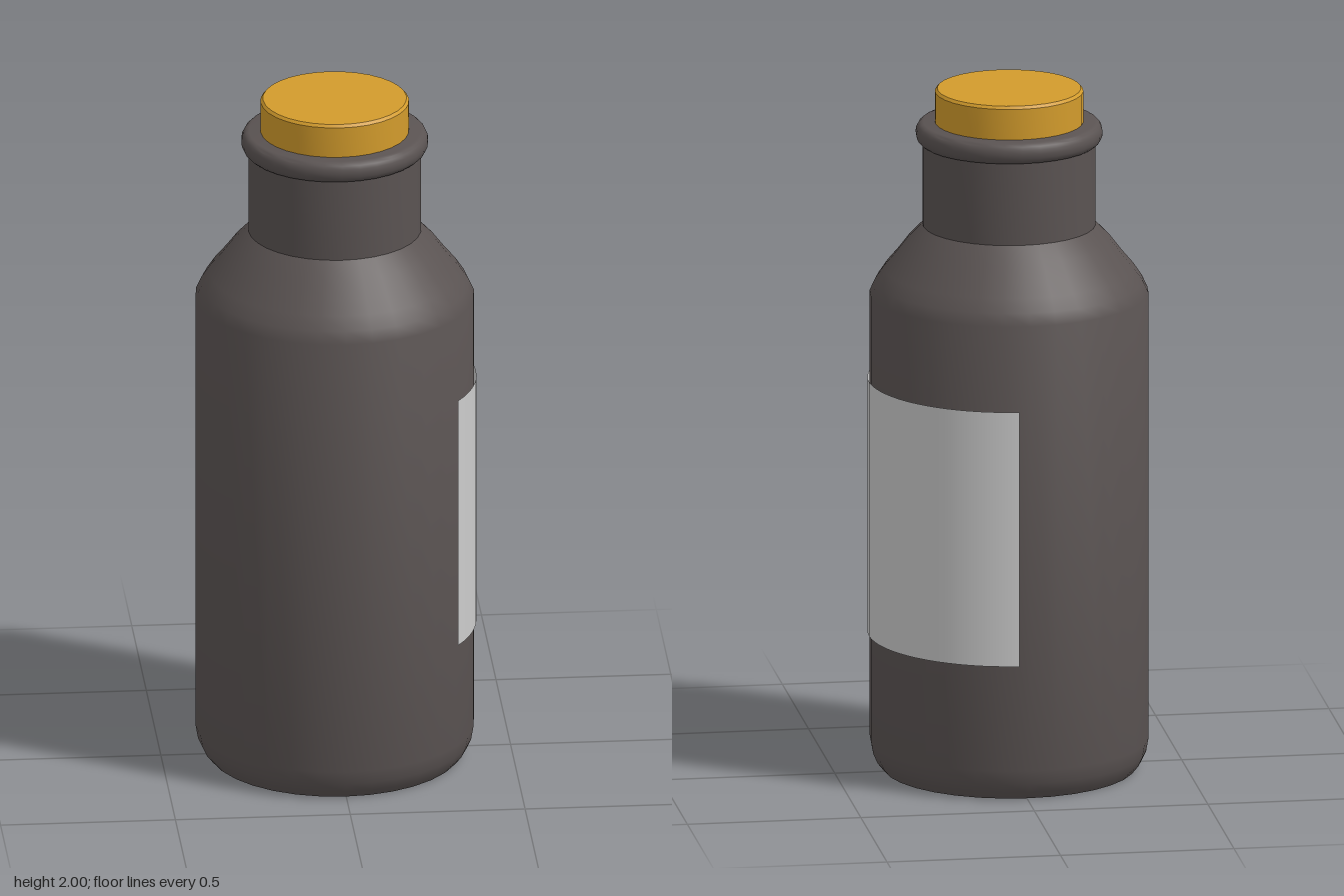
import * as THREE from 'three';
import { toCreasedNormals } from 'three/addons/utils/BufferGeometryUtils.js';

const SIDES = 32;

// Turn a [radius, height] profile around the bottle axis, keeping sharp edges sharp
function turned(name, profile, material, crease = 0.5) {
  const points = profile.map(([r, y]) => new THREE.Vector2(r, y));
  const geometry = toCreasedNormals(new THREE.LatheGeometry(points, SIDES), crease);
  const mesh = new THREE.Mesh(geometry, material);
  mesh.name = name;
  return mesh;
}

export function createModel() {
  const glass = new THREE.MeshStandardMaterial({ color: 0x5a5352 });
  const corkMaterial = new THREE.MeshStandardMaterial({ color: 0xd29b2c });
  const paper = new THREE.MeshStandardMaterial({ color: 0xcccccc, side: THREE.DoubleSide });

  const bottle = new THREE.Group();
  bottle.name = 'bottle';

  // Body with a rounded foot and a domed shoulder
  bottle.add(turned('body', [
    [0, 0], [0.36, 0], [0.378, 0.022], [0.391, 0.05], [0.398, 0.09],
    [0.398, 1.4], [0.382, 1.435], [0.357, 1.472], [0.325, 1.51], [0.29, 1.556], [0.247, 1.6],
  ], glass));

  // Straight neck
  bottle.add(turned('neck', [[0.247, 1.6], [0.247, 1.85]], glass));

  // Rounded lip, closed across the top beneath the cork
  const lip = [[0.247, 1.84]];
  for (let i = 0; i <= 8; i++) {
    const a = -Math.PI / 2 + (Math.PI * i) / 8;
    lip.push([0.245 + 0.022 * Math.cos(a), 1.871 + 0.031 * Math.sin(a)]);
  }
  lip.push([0, 1.902]);
  bottle.add(turned('lip', lip, glass, 0.6));

  // Cork with a slightly bevelled top edge
  bottle.add(turned('cork', [
    [0, 1.86], [0.212, 1.86], [0.212, 1.992], [0.205, 2], [0, 2],
  ], corkMaterial));

  // Paper label wrapped a third of the way around the body
  const label = new THREE.Mesh(
    new THREE.CylinderGeometry(0.404, 0.404, 0.75, 24, 1, true, 0.97, (Math.PI * 2) / 3),
    paper,
  );
  label.name = 'label';
  label.position.y = 0.775;
  bottle.add(label);

  // Offset that centres bottle and label together
  bottle.position.set(-0.003, 0, 0.002);
  const model = new THREE.Group();
  model.name = 'corkedBottle';
  model.add(bottle);
  return model;
}
